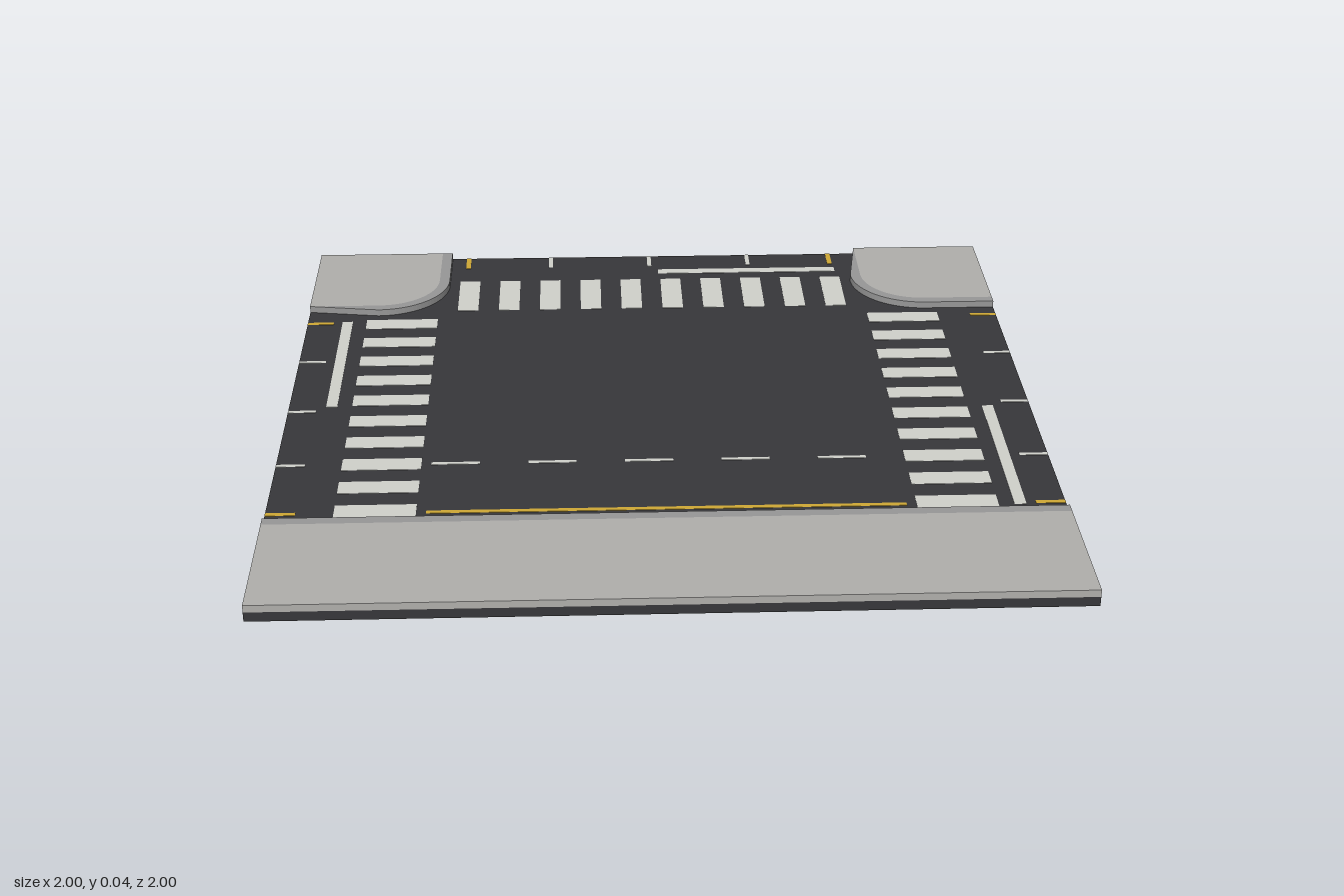
import * as THREE from 'three';

const ROAD_TOP = 0.025, WALK_TOP = 0.044, PAINT = 0.001;
const mat = (color) => new THREE.MeshStandardMaterial({ color });

export function createModel() {
  const model = new THREE.Group();
  const asphalt = mat(0x37373a), paving = mat(0xb0afac), kerb = mat(0x979797);
  const white = mat(0xd0d1cb), yellow = mat(0xcfa835);

  // Box given by its x, y and z ranges
  const box = (parent, name, material, x0, x1, y0, y1, z0, z1) => {
    const mesh = new THREE.Mesh(new THREE.BoxGeometry(x1 - x0, y1 - y0, z1 - z0), material);
    mesh.position.set((x0 + x1) / 2, (y0 + y1) / 2, (z0 + z1) / 2);
    mesh.name = name;
    parent.add(mesh);
  };
  const paint = (parent, name, material, x0, x1, z0, z1) =>
    box(parent, name, material, x0, x1, ROAD_TOP, ROAD_TOP + PAINT, z0, z1);

  // Road slab
  box(model, 'roadSlab', asphalt, -1, 1, 0, ROAD_TOP, -1, 1);

  // Straight pavement along the front
  box(model, 'frontKerb', kerb, -1, 1, ROAD_TOP, WALK_TOP, 0.6, 0.63);
  box(model, 'frontPavement', paving, -1, 1, ROAD_TOP, WALK_TOP, 0.63, 1);

  // Rounded corner pavements at the back, each with a curved kerb
  const slab = (shape, material, name) => {
    const geo = new THREE.ExtrudeGeometry(shape, {
      depth: WALK_TOP - ROAD_TOP, bevelEnabled: false, curveSegments: 12,
    });
    geo.rotateX(-Math.PI / 2).translate(0, ROAD_TOP, 0);
    const mesh = new THREE.Mesh(geo, material);
    mesh.name = name;
    return mesh;
  };
  const paveShape = new THREE.Shape();
  paveShape.moveTo(-1, 1);
  paveShape.lineTo(-1, 0.63);
  paveShape.absarc(-0.8, 0.8, 0.17, -Math.PI / 2, 0, false);
  paveShape.lineTo(-0.63, 1);
  const kerbShape = new THREE.Shape();
  kerbShape.moveTo(-1, 0.6);
  kerbShape.absarc(-0.8, 0.8, 0.2, -Math.PI / 2, 0, false);
  kerbShape.lineTo(-0.6, 1);
  kerbShape.lineTo(-0.63, 1);
  kerbShape.absarc(-0.8, 0.8, 0.17, 0, -Math.PI / 2, true);
  kerbShape.lineTo(-1, 0.63);
  for (const [name, turn] of [['rightCorner', 0], ['leftCorner', -Math.PI / 2]]) {
    const corner = new THREE.Group();
    corner.name = name;
    corner.add(slab(paveShape, paving, 'cornerPavement'), slab(kerbShape, kerb, 'cornerKerb'));
    corner.rotation.y = turn;
    model.add(corner);
  }

  // Markings of the three approaches: crossing, stop line and lane line ends
  for (const [name, turn] of [['back', 0], ['right', Math.PI / 2], ['left', -Math.PI / 2]]) {
    const arm = new THREE.Group();
    arm.name = name + 'ApproachMarkings';
    for (let i = 0; i < 10; i++) {
      const x = -0.54 + i * 0.12;
      paint(arm, 'crossingStripe', white, x - 0.03, x + 0.03, -0.83, -0.625);
    }
    paint(arm, 'stopLine', white, 0.025, 0.56, -0.9, -0.87);
    for (const x of [-0.3, 0, 0.3]) paint(arm, 'laneLine', white, x - 0.006, x + 0.006, -1, -0.925);
    for (const x of [-0.55, 0.55]) paint(arm, 'edgeLine', yellow, x - 0.007, x + 0.007, -1, -0.925);
    arm.rotation.y = turn;
    model.add(arm);
  }

  // Through lane: dashes and yellow edge line
  for (let i = 0; i < 5; i++) {
    const x = -0.6 + i * 0.25;
    paint(model, 'laneDash', white, x, x + 0.125, 0.294, 0.306);
  }
  paint(model, 'frontEdgeLine', yellow, -0.6, 0.6, 0.543, 0.557);

  return model;
}
